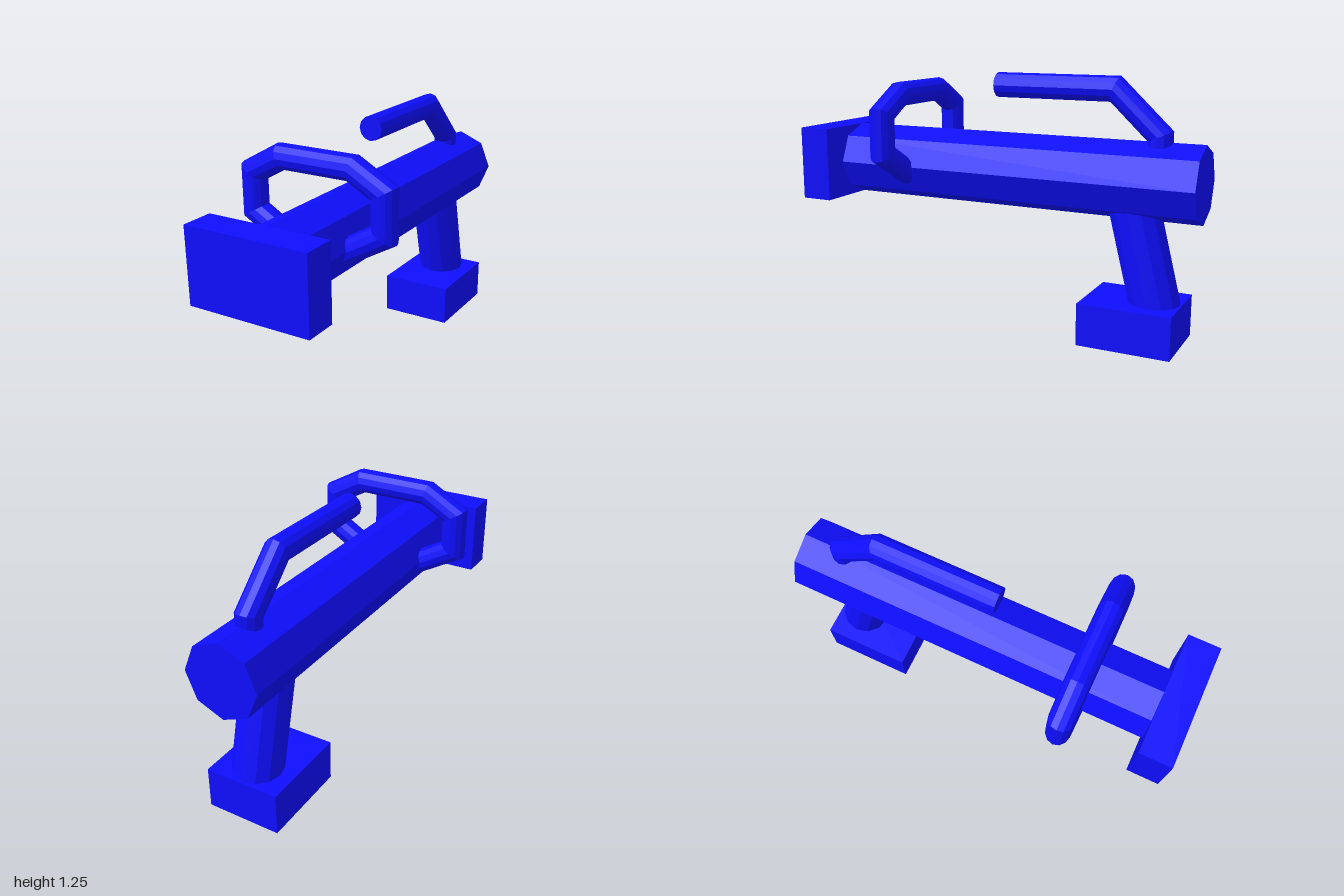
import * as THREE from 'three';

const material = new THREE.MeshStandardMaterial({ color: 0x0e0eff, flatShading: true });

// Capped round bar swept along a planar path with mitred corners; b is the normal of the path's plane.
function bar(points, b, radius, sides = 12) {
  const path = points.map((p) => new THREE.Vector3(...p));
  const normals = path.slice(1).map((p, i) =>
    new THREE.Vector3().crossVectors(b, p.clone().sub(path[i]).normalize()));
  const positions = [];
  const index = [];
  path.forEach((p, i) => {
    const n1 = normals[Math.max(i - 1, 0)];
    const n2 = normals[Math.min(i, normals.length - 1)];
    const mitre = n1.clone().add(n2).divideScalar(1 + n1.dot(n2));
    for (let j = 0; j < sides; j++) {
      const a = (j / sides) * Math.PI * 2;
      const v = p.clone()
        .addScaledVector(mitre, Math.cos(a) * radius)
        .addScaledVector(b, Math.sin(a) * radius);
      positions.push(v.x, v.y, v.z);
    }
  });
  for (let i = 0; i < path.length - 1; i++) {
    for (let j = 0; j < sides; j++) {
      const k = (j + 1) % sides;
      const s = i * sides;
      const e = s + sides;
      index.push(s + j, s + k, e + k, s + j, e + k, e + j);
    }
  }
  // End caps
  const last = (path.length - 1) * sides;
  for (let j = 1; j < sides - 1; j++) {
    index.push(0, j + 1, j, last, last + j, last + j + 1);
  }
  const geometry = new THREE.BufferGeometry();
  geometry.setAttribute('position', new THREE.Float32BufferAttribute(positions, 3));
  geometry.setIndex(index);
  geometry.computeVertexNormals();
  return geometry;
}

export function createModel() {
  const group = new THREE.Group();
  const add = (name, geometry, x = 0, y = 0, z = 0) => {
    const mesh = new THREE.Mesh(geometry, material);
    mesh.name = name;
    mesh.position.set(x, y, z);
    group.add(mesh);
  };
  const xAxis = new THREE.Vector3(1, 0, 0);
  const zAxis = new THREE.Vector3(0, 0, 1);

  // Octagonal body with a corner at the top, and the plate on its front end
  add('body', new THREE.CylinderGeometry(0.183, 0.183, 1.85, 8).rotateX(Math.PI / 2), 0, 0.777, -0.075);
  add('frontPlate', new THREE.BoxGeometry(0.61, 0.365, 0.16), 0, 0.777, 0.92);

  // Slanted rear grip standing on a block
  add('grip', bar([[0, 0.15, -0.803], [0, 0.7, -0.665]], xAxis, 0.12));
  add('base', new THREE.BoxGeometry(0.37, 0.205, 0.45), 0, 0.1025, -0.695);

  // Front loop handle wrapped around the body
  const half = [[0.184, 1.14], [0.34, 1.053], [0.34, 0.865], [0.08, 0.715]];
  const loop = [
    ...half.map(([x, y]) => [-x, y, 0.48]).reverse(),
    ...half.map(([x, y]) => [x, y, 0.48]),
  ];
  add('frontHandle', bar(loop, zAxis, 0.06));

  // Top handle rising from the rear of the body and reaching forward
  add('topHandle', bar([
    [0, 0.85, -0.79], [0, 0.985, -0.79], [0, 1.19, -0.573], [0, 1.19, 0.025],
  ], xAxis, 0.06));

  return group;
}
